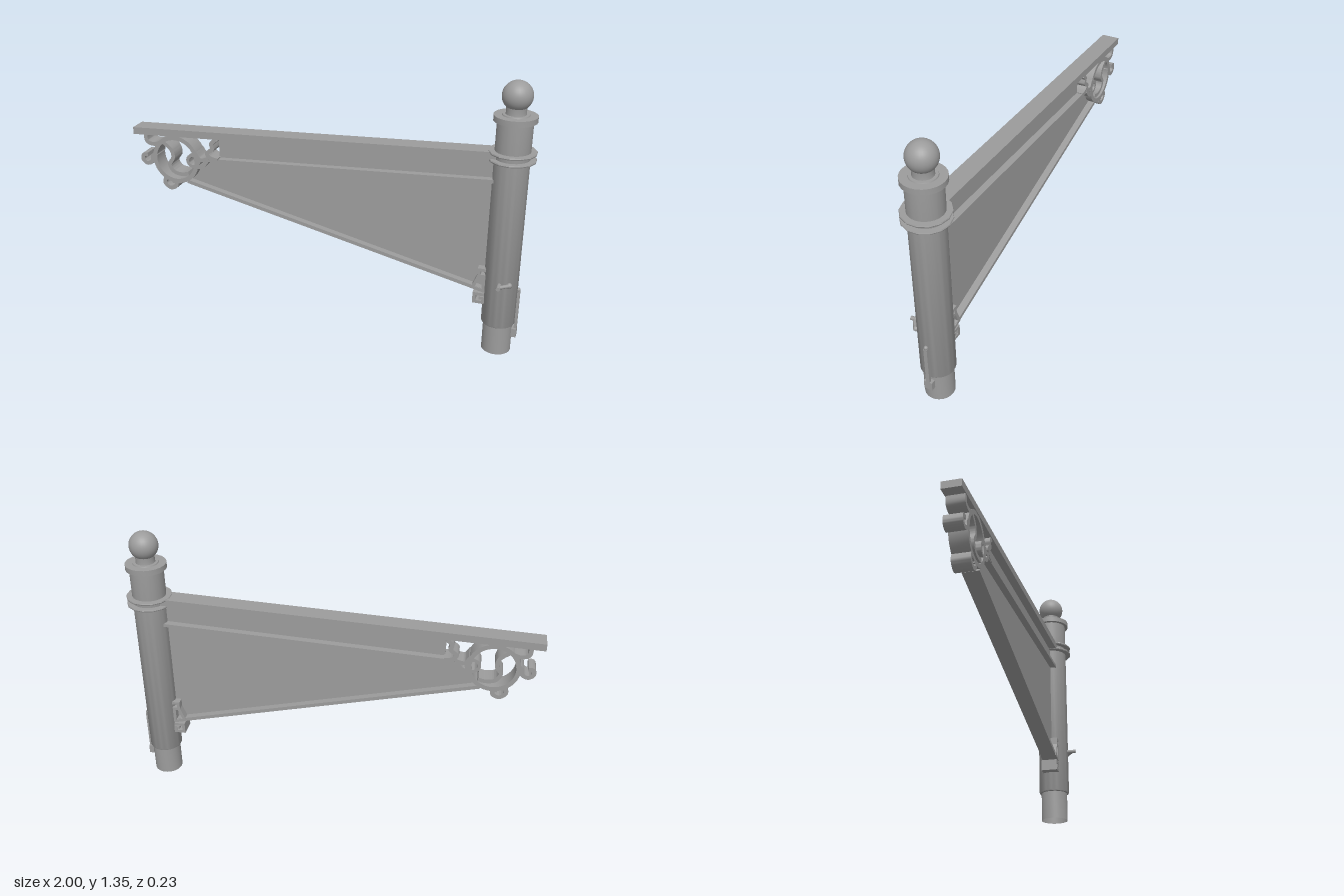
import * as THREE from 'three';
import { toCreasedNormals } from 'three/addons/utils/BufferGeometryUtils.js';

const MAT = new THREE.MeshStandardMaterial({ color: 0x9c9c9c });
const OPEN_MAT = MAT.clone(); // for the hollow post
OPEN_MAT.side = THREE.DoubleSide;
const POST_X = 0.89, MID_Z = -0.007; // post axis and middle plane of the bracket

export function createModel() {
  const model = new THREE.Group();

  const add = (parent, name, geometry, x = 0, y = 0, z = 0) => {
    const mesh = new THREE.Mesh(geometry, MAT);
    mesh.name = name;
    mesh.position.set(x, y, z);
    parent.add(mesh);
    return mesh;
  };
  const group = (name, x = 0, z = MID_Z) => {
    const g = new THREE.Group();
    g.name = name;
    g.position.set(x, 0, z);
    model.add(g);
    return g;
  };
  const vec = (pts) => pts.map(([x, y]) => new THREE.Vector2(x, y));
  const turned = (pts, sides, crease = 0.6) =>
    toCreasedNormals(new THREE.LatheGeometry(vec(pts), sides), crease);

  // Outline in the xy plane, extruded evenly about z = 0
  const plate = (shape, depth) => {
    const geo = new THREE.ExtrudeGeometry(shape, { depth, bevelEnabled: false, curveSegments: 20 });
    geo.translate(0, 0, -depth / 2);
    return toCreasedNormals(geo, 0.6);
  };
  const polygon = (pts) => new THREE.Shape(vec(pts));

  // Flat strip of even thickness along a line, with mitred corners
  const strip = (pts, thickness, depth) => {
    const left = [], right = [];
    pts.forEach((p, i) => {
      const a = p.clone().sub(pts[Math.max(i - 1, 0)]).normalize();
      const b = pts[Math.min(i + 1, pts.length - 1)].clone().sub(p).normalize();
      const t = a.clone().add(b).normalize();
      const unit = i === 0 ? b : a;
      const n = new THREE.Vector2(-t.y, t.x);
      const side = new THREE.Vector2(-unit.y, unit.x);
      n.multiplyScalar(thickness / 2 / Math.max(n.dot(side), 0.4));
      left.push(p.clone().add(n));
      right.unshift(p.clone().sub(n));
    });
    return plate(new THREE.Shape([...left, ...right]), depth);
  };
  const scroll = (pts) =>
    strip(new THREE.SplineCurve(vec(pts)).getPoints(pts.length * 6), 0.02, 0.086);

  const hoop = (radius, thickness) => {
    const shape = new THREE.Shape().absarc(0, 0, radius + thickness / 2, 0, Math.PI * 2);
    shape.holes.push(new THREE.Path().absarc(0, 0, radius - thickness / 2, 0, Math.PI * 2, true));
    return plate(shape, 0.086);
  };

  // Post, hollow at the foot
  const post = group('post', POST_X);
  add(post, 'shaft', turned([
    [0.07, 0], [0.07, 0.148], [0.078, 0.15], [0.081, 0.156], [0.081, 1.18], [0, 1.18],
  ], 32)).material = OPEN_MAT;
  add(post, 'collar', turned([
    [0, 1.166], [0.098, 1.166], [0.098, 1.193], [0.062, 1.193], [0.06, 1.198], [0, 1.198],
  ], 24));
  add(post, 'finialNeck', turned([[0.047, 1.195], [0.045, 1.21], [0.047, 1.235]], 24));
  add(post, 'finialBall', new THREE.SphereGeometry(0.069, 28, 20), 0, 1.281, 0);
  for (const y of [0.987, 1.022]) {
    add(post, 'band', turned([
      [0.075, y - 0.005], [0.108, y - 0.005], [0.11, y], [0.108, y + 0.005], [0.075, y + 0.005],
    ], 14, 0.35));
  }

  // Bracket arm: top rail, two ribs and the thin web between them
  const arm = group('arm');
  add(arm, 'topRail', plate(polygon([[-1, 0.911], [0.83, 0.987], [0.83, 1.025], [-1, 0.947]]), 0.092));
  add(arm, 'middleRib', strip(vec([[-0.61, 0.813], [0.825, 0.882]]), 0.016, 0.08));
  add(arm, 'lowerRib', strip(vec([[-0.715, 0.685], [0.825, 0.318]]), 0.018, 0.08));
  add(arm, 'web', plate(polygon([
    [-0.705, 0.685], [0.83, 0.315], [0.83, 1.0], [-0.545, 0.938], [-0.545, 0.82],
    [-0.61, 0.812], [-0.64, 0.778], [-0.657, 0.75], [-0.675, 0.72],
  ]), 0.014));

  // Scrollwork at the tip
  const ornament = group('tipScrollwork');
  add(ornament, 'mainHoop', hoop(0.115, 0.022), -0.773, 0.797);
  add(ornament, 'smallHoop', hoop(0.03, 0.016), -0.676, 0.801);
  const scrolls = {
    topScroll: [[-0.934, 0.922], [-0.928, 0.88], [-0.89, 0.868], [-0.845, 0.883]],
    outerCurl: [[-0.878, 0.82], [-0.9, 0.805], [-0.906, 0.774], [-0.934, 0.76], [-0.958, 0.777], [-0.953, 0.803], [-0.93, 0.806]],
    lowerCurl: [[-0.832, 0.7], [-0.842, 0.664], [-0.813, 0.64], [-0.781, 0.652], [-0.78, 0.676], [-0.8, 0.676]],
    innerWave: [[-0.84, 0.884], [-0.797, 0.85], [-0.787, 0.807], [-0.808, 0.769], [-0.787, 0.732], [-0.744, 0.722], [-0.705, 0.73]],
    upperTendril: [[-0.664, 0.846], [-0.637, 0.812], [-0.59, 0.822]],
    lowerTendril: [[-0.66, 0.769], [-0.626, 0.779], [-0.598, 0.812]],
    cornerScroll: [[-0.548, 0.928], [-0.573, 0.903], [-0.568, 0.876], [-0.598, 0.85], [-0.578, 0.828], [-0.541, 0.82]],
  };
  for (const [name, pts] of Object.entries(scrolls)) add(ornament, name, scroll(pts));

  // Square key-pattern ornament where the lower rib meets the post
  const key = group('keyOrnament');
  const keyLines = [
    [[0.82, 0.43], [0.788, 0.43], [0.788, 0.398], [0.812, 0.398], [0.812, 0.325]],
    [[0.788, 0.398], [0.762, 0.333], [0.815, 0.32]],
    [[0.82, 0.3], [0.772, 0.3], [0.772, 0.258], [0.816, 0.258], [0.816, 0.28], [0.794, 0.28]],
  ];
  for (const pts of keyLines) add(key, 'keyStrip', strip(vec(pts), 0.015, 0.086));

  // Small bent hook on the front of the post
  const hook = group('hook', POST_X, 0);
  const rod = (a, b, r) => {
    const from = new THREE.Vector3(...a), to = new THREE.Vector3(...b);
    const mesh = add(hook, 'hookRod', new THREE.CylinderGeometry(r, r, from.distanceTo(to), 10));
    mesh.position.copy(from).lerp(to, 0.5);
    mesh.quaternion.setFromUnitVectors(new THREE.Vector3(0, 1, 0), to.sub(from).normalize());
  };
  rod([0, 0.385, 0.06], [0, 0.385, 0.118], 0.01);
  rod([0, 0.385, 0.1], [0.045, 0.385, 0.068], 0.009);
  add(hook, 'hookTip', new THREE.SphereGeometry(0.013, 12, 8), 0.046, 0.385, 0.064);

  // Hanging lever on the outer side of the post
  const lever = group('lever', POST_X);
  add(lever, 'pivot', new THREE.SphereGeometry(0.01, 12, 8), 0.084, 0.334, 0);
  add(lever, 'leverRod', new THREE.BoxGeometry(0.014, 0.21, 0.018), 0.086, 0.225, 0);
  add(lever, 'leverWeight', new THREE.BoxGeometry(0.024, 0.044, 0.042), 0.081, 0.105, 0);

  return model;
}
